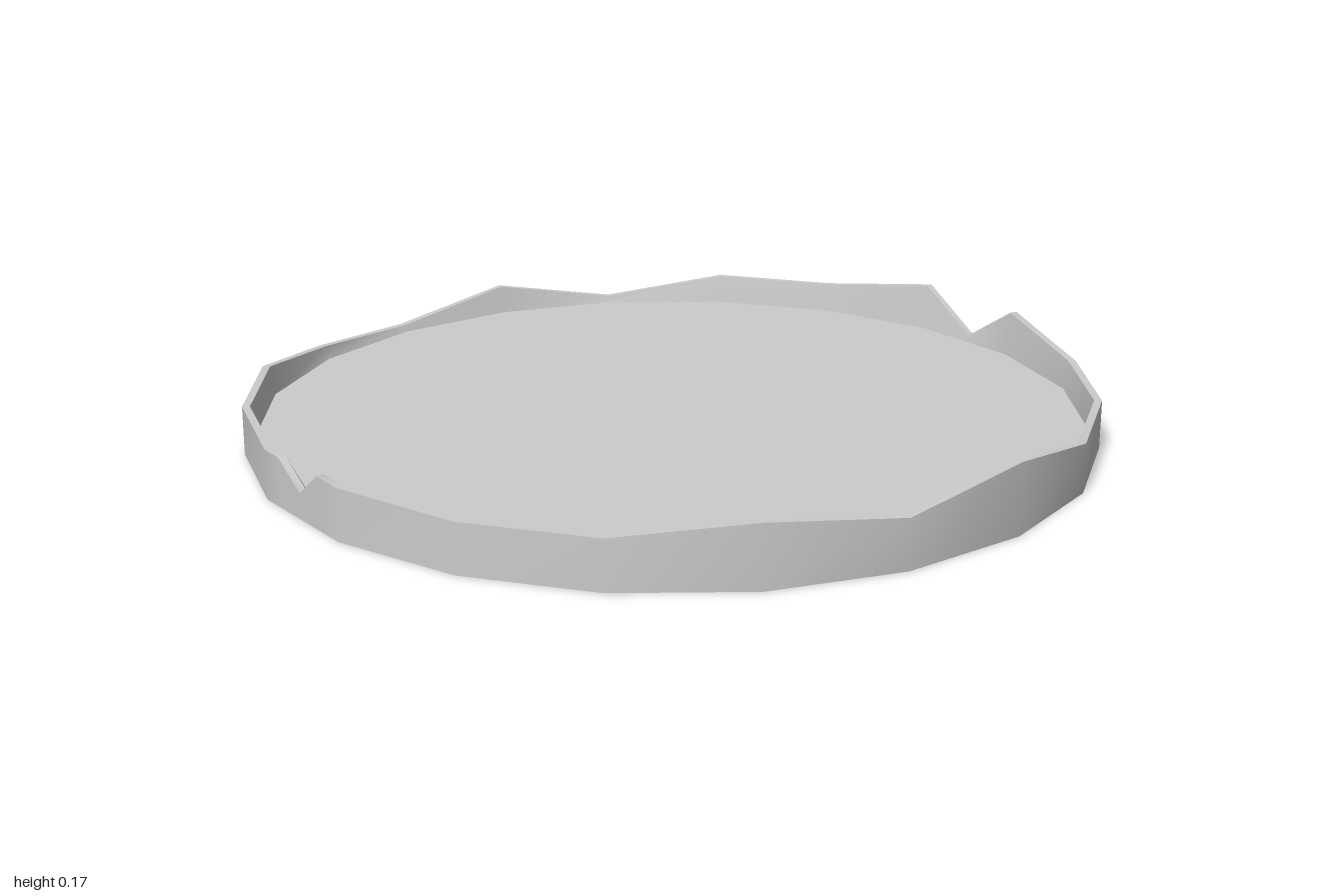
import * as THREE from 'three';

const SIDES = 20;
const FLOOR = 0.045;

// Broken rim outline: [position in sides counted from the front towards +x, height]
const RIM = [
  [0, 0.12], [1, 0.115], [2, 0.115], [3, 0.145], [4, 0.115], [5, 0.165], [6, 0.115],
  [7, 0.115], [8, 0.115], [9, 0.155], [9.48, 0.06], [10, 0.16], [11, 0.115], [12, 0.115],
  [13, 0.06], [14, 0.115], [15, 0.06], [16, 0.077], [17, 0.115], [18, 0.115], [19, 0.115],
  [19.19, 0.115], [19.48, 0.06], [19.74, 0.122],
];

const corner = (k) => {
  const a = (k / SIDES) * Math.PI * 2;
  return new THREE.Vector3(Math.sin(a), 0, Math.cos(a));
};

// Ring of points on the polygon; height is a number or 'rim'
function ring(radius, height) {
  return RIM.map(([k, h]) => {
    const p = corner(Math.floor(k)).lerp(corner(Math.floor(k) + 1), k % 1);
    p.multiplyScalar(radius);
    p.y = height === 'rim' ? h : height;
    return p;
  });
}

// Closed band between two rings, smooth around its length
function band(name, lower, upper, material) {
  const n = lower.length;
  const index = [];
  for (let i = 0; i < n; i++) {
    const j = (i + 1) % n;
    index.push(i, j, n + j, i, n + j, n + i);
  }
  const geometry = new THREE.BufferGeometry().setFromPoints([...lower, ...upper]);
  geometry.setIndex(index);
  geometry.computeVertexNormals();
  const mesh = new THREE.Mesh(geometry, material);
  mesh.name = name;
  return mesh;
}

function disc(name, radius, y, facing, material) {
  const mesh = new THREE.Mesh(new THREE.CircleGeometry(radius, SIDES), material);
  mesh.name = name;
  mesh.rotation.x = -facing * Math.PI / 2;
  mesh.position.y = y;
  return mesh;
}

export function createModel() {
  const group = new THREE.Group();
  group.name = 'chippedDish';
  const material = new THREE.MeshStandardMaterial({ color: 0xcccccc });

  const outerBase = ring(1, 0);
  const outerTop = ring(1, 'rim');
  const innerTop = ring(0.982, 'rim');
  const innerBase = ring(0.972, FLOOR);

  group.add(
    band('outerWall', outerBase, outerTop, material),
    band('rimEdge', outerTop, innerTop, material),
    band('innerWall', innerTop, innerBase, material),
    disc('dishFloor', 0.972, FLOOR, 1, material),
    disc('underside', 1, 0, -1, material),
  );
  return group;
}
